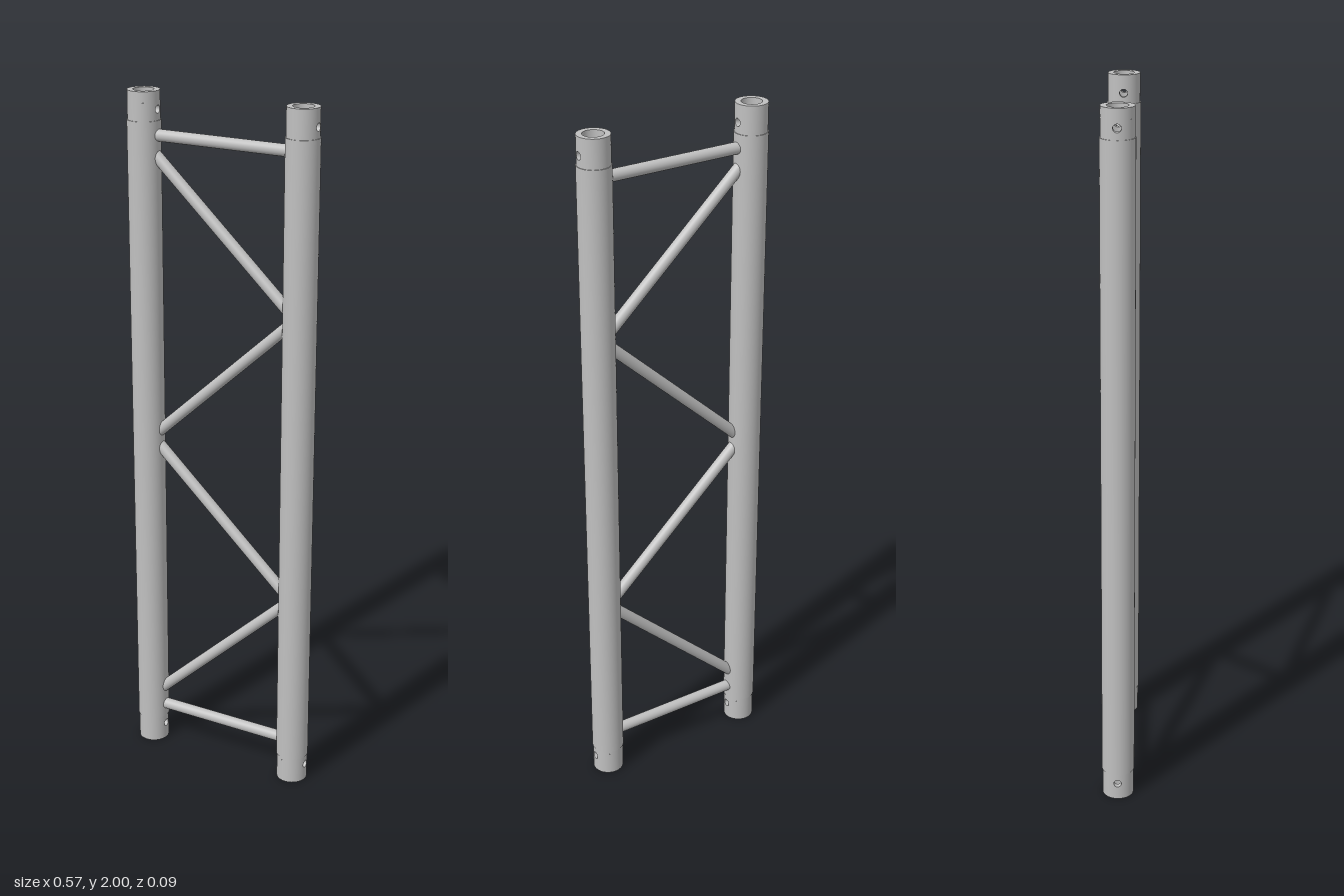
import * as THREE from 'three';
import { mergeGeometries } from 'three/addons/utils/BufferGeometryUtils.js';
import { ParametricGeometry } from 'three/addons/geometries/ParametricGeometry.js';

const HEIGHT = 2, CHORD_X = 0.24;
const TUBE_R = 0.0468, SLEEVE_R = 0.0447, BORE_R = 0.0286;
const SLEEVE_H = 0.08, HOLE_Y = 0.05, HOLE_R = 0.011, PATCH = 0.02;
const BRACE_R = 0.0165, SEG = 64;

const wall = (r, y0, y1, start = 0, length = Math.PI * 2) =>
  new THREE.CylinderGeometry(r, r, y1 - y0, SEG, 1, true, start, length).translate(0, (y0 + y1) / 2, 0);

// flat ring, facing up or down
const ring = (inner, outer, y, up) =>
  new THREE.RingGeometry(inner, outer, SEG).rotateX(up ? -Math.PI / 2 : Math.PI / 2).translate(0, y, 0);

// square piece of curved wall with a round hole, on the +x side
const holedPatch = (r) => new ParametricGeometry((u, v, p) => {
  const c = Math.cos(u * Math.PI * 2), s = Math.sin(u * Math.PI * 2);
  const d = THREE.MathUtils.lerp(HOLE_R, PATCH / Math.max(Math.abs(c), Math.abs(s)), v);
  p.set(Math.sqrt(r * r - c * c * d * d), HOLE_Y + s * d, c * d);
}, 48, 4);

// lining of the hole, from outer wall to bore
const holeLining = () => new ParametricGeometry((u, v, p) => {
  const z = HOLE_R * Math.cos(u * Math.PI * 2), y = HOLE_R * Math.sin(u * Math.PI * 2);
  const x = (r) => Math.sqrt(r * r - z * z);
  p.set(THREE.MathUtils.lerp(x(SLEEVE_R), x(BORE_R), v), HOLE_Y + y, z);
}, 48, 1);

// slightly narrower end sleeve with a pin hole through both walls
function sleeveGeometry() {
  const parts = [ring(BORE_R, SLEEVE_R, 0, false)];
  for (const r of [SLEEVE_R, BORE_R]) {
    const half = Math.asin(PATCH / r);
    parts.push(wall(r, 0, HOLE_Y - PATCH), wall(r, HOLE_Y + PATCH, SLEEVE_H));
    for (const turn of [0, Math.PI]) {
      parts.push(holedPatch(r).rotateY(turn));
      parts.push(wall(r, HOLE_Y - PATCH, HOLE_Y + PATCH, Math.PI / 2 + half + turn, Math.PI - 2 * half));
    }
  }
  for (const turn of [0, Math.PI]) parts.push(holeLining().rotateY(turn));
  return mergeGeometries(parts);
}

// main tube between the sleeves, with stepped ends
function tubeGeometry() {
  const y0 = SLEEVE_H, y1 = HEIGHT - SLEEVE_H;
  return mergeGeometries([
    wall(TUBE_R, y0, y1), wall(BORE_R, y0, y1),
    ring(BORE_R, TUBE_R, y0, false), ring(BORE_R, TUBE_R, y1, true),
  ]);
}

// round bar sheared along x so its ends stay parallel to the chords
function braceGeometry(yLeft, yRight) {
  const edge = 0.195, end = 0.206;
  const slope = (yRight - yLeft) / (2 * edge);
  const bar = new THREE.CylinderGeometry(BRACE_R, BRACE_R, end * 2, 32).rotateZ(Math.PI / 2);
  return bar.applyMatrix4(new THREE.Matrix4().set(
    1, 0, 0, 0,
    slope, Math.hypot(1, slope), 0, (yLeft + yRight) / 2,
    0, 0, 1, 0,
    0, 0, 0, 1));
}

export function createModel() {
  const group = new THREE.Group();
  group.name = 'ladderTruss';
  const metal = new THREE.MeshStandardMaterial({ color: 0xc0c0c0, side: THREE.DoubleSide });
  metal.name = 'aluminium';
  const add = (parent, name, geometry) => {
    const mesh = new THREE.Mesh(geometry, metal);
    mesh.name = name;
    parent.add(mesh);
    return mesh;
  };

  // upright chords
  const tube = tubeGeometry(), sleeve = sleeveGeometry();
  for (const side of [-1, 1]) {
    const chord = new THREE.Group();
    chord.name = side > 0 ? 'leftChord' : 'rightChord';
    chord.position.x = side * CHORD_X;
    add(chord, 'mainTube', tube);
    add(chord, 'bottomSleeve', sleeve);
    const top = add(chord, 'topSleeve', sleeve);
    top.rotation.x = Math.PI;
    top.position.y = HEIGHT;
    group.add(chord);
  }

  // level rungs at both ends
  add(group, 'bottomRung', braceGeometry(0.12, 0.12));
  add(group, 'topRung', braceGeometry(1.88, 1.88));

  // zigzag braces: height at -x, height at +x
  const braces = [[0.185, 0.549], [0.971, 0.609], [1.031, 1.393], [1.817, 1.455]];
  braces.forEach(([a, b], i) => add(group, `diagonalBrace${i + 1}`, braceGeometry(a, b)));

  return group;
}
